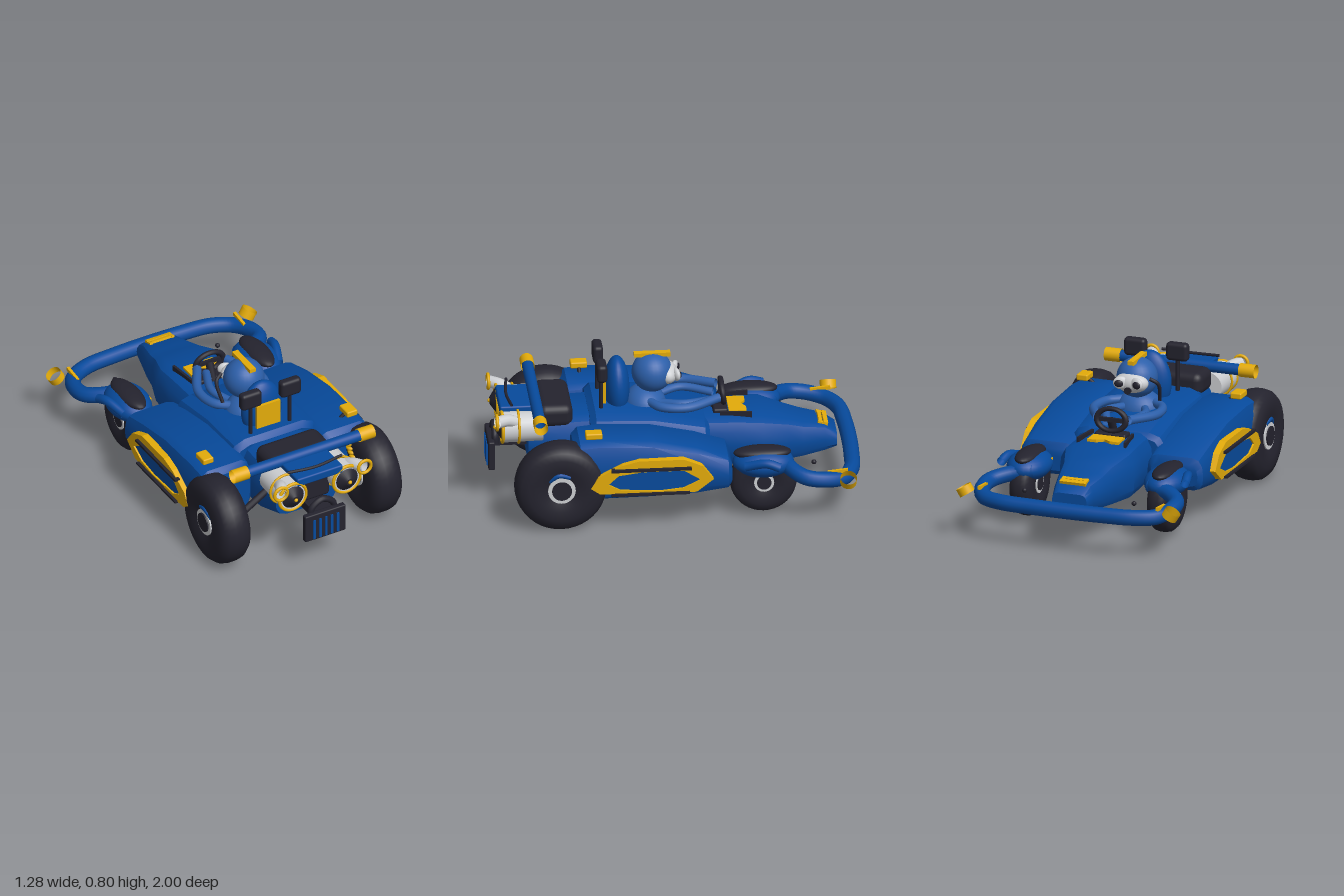
import * as THREE from 'three';
import { toCreasedNormals } from 'three/addons/utils/BufferGeometryUtils.js';
import { RoundedBoxGeometry } from 'three/addons/geometries/RoundedBoxGeometry.js';

const mat = (name, color) => {
  const m = new THREE.MeshStandardMaterial({ color, side: THREE.DoubleSide });
  m.name = name;
  return m;
};
const V = (p) => new THREE.Vector3(...p);

export function createModel() {
  const blue = mat('body blue', 0x074a9c);
  const suit = mat('suit blue', 0x2c5fa9);
  const yellow = mat('yellow', 0xe3ab0a);
  const dark = mat('dark rubber', 0x24232e);
  const white = mat('pale metal', 0xcdcfd2);
  const model = new THREE.Group();
  model.name = 'kart';

  const add = (name, geo, material, pos = [0, 0, 0], rot = [0, 0, 0], scale = [1, 1, 1]) => {
    const m = new THREE.Mesh(geo, material);
    m.name = name;
    m.position.set(...pos);
    m.rotation.set(...rot);
    m.scale.set(...scale);
    model.add(m);
    return m;
  };
  const box = (name, material, size, pos, rot) => add(name, new THREE.BoxGeometry(...size), material, pos, rot);
  const rbox = (name, material, size, pos, r = 0.02) => add(name, new RoundedBoxGeometry(...size, 3, r), material, pos);
  const ball = (name, material, radii, pos, rot) => add(name, new THREE.SphereGeometry(1, 28, 18), material, pos, rot, radii);
  const tube = (name, material, pts, r, n = 24) =>
    add(name, new THREE.TubeGeometry(new THREE.CatmullRomCurve3(pts.map(V)), n, r, 12), material);
  // cylinders whose axis runs along z or x
  const cylZ = (name, material, r0, r1, len, pos) =>
    add(name, new THREE.CylinderGeometry(r0, r1, len, 28), material, pos, [Math.PI / 2, 0, 0]);
  const cylX = (name, material, r, len, pos, open = false) =>
    add(name, new THREE.CylinderGeometry(r, r, len, 28, 1, open), material, pos, [0, 0, Math.PI / 2]);
  const mirror = (fn) => [1, -1].forEach(fn);

  // hull around x = cx from sections [z, half width, bottom, top], with chamfered corners
  const loft = (name, material, sections, cx = 0) => {
    const rings = sections.map(([z, w, b, t]) => {
      const h = t - b;
      const half = [[0.62, t], [0.84, t - 0.07 * h], [0.96, t - 0.25 * h], [1, b + 0.5 * h],
        [0.98, b + 0.22 * h], [0.86, b + 0.06 * h], [0.66, b]];
      return [...half.map(([x, y]) => [cx + x * w, y, z]), ...half.reverse().map(([x, y]) => [cx - x * w, y, z])];
    });
    const pos = [];
    const n = rings[0].length;
    for (let i = 0; i < rings.length - 1; i++) for (let j = 0; j < n; j++) {
      const k = (j + 1) % n;
      const [a, b, c, d] = [rings[i][j], rings[i][k], rings[i + 1][k], rings[i + 1][j]];
      pos.push(...a, ...d, ...b, ...d, ...c, ...b);
    }
    const first = rings[0], last = rings[rings.length - 1];
    for (let j = 1; j < n - 1; j++) {
      pos.push(...first[0], ...first[j], ...first[j + 1]);
      pos.push(...last[0], ...last[j + 1], ...last[j]);
    }
    const g = new THREE.BufferGeometry();
    g.setAttribute('position', new THREE.Float32BufferAttribute(pos, 3));
    return add(name, toCreasedNormals(g, 0.6), material);
  };

  // bodywork
  mirror((s) => loft('sidePod', blue, [[-0.285, 0.135, 0.23, 0.35], [-0.265, 0.16, 0.205, 0.385], [-0.1, 0.168, 0.18, 0.44],
    [0.14, 0.168, 0.168, 0.492], [0.42, 0.168, 0.165, 0.505], [0.53, 0.165, 0.17, 0.495], [0.562, 0.14, 0.2, 0.465]], 0.364 * s));
  loft('cockpitHull', blue, [[-0.19, 0.255, 0.22, 0.44], [-0.165, 0.28, 0.19, 0.465], [0.12, 0.285, 0.18, 0.525],
    [0.42, 0.285, 0.18, 0.535], [0.452, 0.26, 0.2, 0.51]]);
  loft('nose', blue, [[-0.885, 0.1, 0.23, 0.315], [-0.82, 0.115, 0.21, 0.36], [-0.7, 0.145, 0.19, 0.385],
    [-0.62, 0.16, 0.18, 0.41], [-0.48, 0.215, 0.18, 0.45], [-0.35, 0.21, 0.18, 0.458], [-0.1, 0.2, 0.19, 0.46]]);
  loft('engineDeck', blue, [[0.4, 0.215, 0.18, 0.51], [0.6, 0.21, 0.19, 0.5], [0.78, 0.19, 0.25, 0.49]]);
  rbox('tailPlate', blue, [0.28, 0.05, 0.2], [0, 0.545, 0.83], 0.01);
  rbox('engineCover', dark, [0.38, 0.13, 0.19], [0, 0.515, 0.635], 0.045);
  rbox('enginePanel', dark, [0.2, 0.18, 0.12], [0, 0.44, 0.8], 0.02);
  tube('tailTrim', dark, [[-0.165, 0.59, 0.87], [0, 0.583, 0.885], [0.165, 0.59, 0.87]], 0.008);
  box('floorHatch', dark, [0.1, 0.008, 0.08], [0, 0.177, -0.32]);

  // front bumper loop
  const side = [[0.34, 0.31, -0.56], [0.46, 0.29, -0.605], [0.535, 0.27, -0.68], [0.54, 0.255, -0.78],
    [0.49, 0.24, -0.88], [0.38, 0.24, -0.935], [0.2, 0.24, -0.952]];
  tube('frontBumper', blue, [...side, [0, 0.24, -0.957], ...side.slice().reverse().map(([x, y, z]) => [-x, y, z])], 0.043, 90);

  // yellow details along the nose
  box('noseBadge', yellow, [0.15, 0.02, 0.025], [0, 0.36, -0.825], [-0.3, 0, 0]);
  mirror((s) => box('noseBadgeEnd', yellow, [0.018, 0.02, 0.035], [0.066 * s, 0.364, -0.8], [-0.3, 0, 0]));
  box('noseBadgeBar', yellow, [0.12, 0.02, 0.02], [0, 0.366, -0.797], [-0.3, 0, 0]);
  const dash = new THREE.Shape([[-0.09, -0.045], [0.09, -0.045], [0.09, 0.05], [0.04, 0.05], [0, 0.025], [-0.04, 0.05], [-0.09, 0.05]]
    .map(([x, y]) => new THREE.Vector2(x, y)));
  add('dashPlate', new THREE.ExtrudeGeometry(dash, { depth: 0.02, bevelEnabled: false }), yellow, [0, 0.45, -0.35], [-Math.PI / 2, 0, 0]);

  // side panel outlines as (z, y)
  const outer = [[0.48, 0.265], [0.44, 0.33], [0.31, 0.395], [0.22, 0.417], [-0.02, 0.417], [-0.12, 0.375],
    [-0.18, 0.295], [-0.09, 0.225], [0.1, 0.215], [0.43, 0.23]];
  const inner = [[0.385, 0.285], [0.33, 0.335], [0.2, 0.352], [-0.02, 0.352], [-0.11, 0.295], [-0.02, 0.25], [0.1, 0.238], [0.32, 0.25]];
  const plate = (pts, hole, depth) => {
    const v = (a) => a.map(([x, y]) => new THREE.Vector2(x, y));
    const s = new THREE.Shape(v(pts));
    if (hole) s.holes.push(new THREE.Path(v(hole)));
    return new THREE.ExtrudeGeometry(s, { depth, bevelEnabled: false }).rotateY(-Math.PI / 2).translate(depth / 2, 0, 0);
  };

  // tyre, rim and hub with the axle along x
  const wheel = (name, r, w, pos) => {
    const prof = [[0.28, -0.4], [0.5, -0.5], [0.72, -0.49], [0.88, -0.42], [0.97, -0.28], [1, -0.1]];
    const pts = [...prof, ...prof.slice().reverse().map(([a, b]) => [a, -b])].map(([a, b]) => new THREE.Vector2(a * r, b * w));
    add(name + 'Tyre', new THREE.LatheGeometry(pts, 40), dark, pos, [0, 0, Math.PI / 2]);
    cylX(name + 'Rim', white, 0.3 * r, w * 0.9, pos);
    cylX(name + 'Hub', dark, 0.215 * r, w * 0.98, pos);
  };

  mirror((s) => {
    wheel('engineEndWheel', 0.248, 0.19, [0.465 * s, 0.255, 0.635]);
    wheel('noseEndWheel', 0.18, 0.13, [0.395 * s, 0.21, -0.46]);
    // fenders over the small wheels
    ball('fender', blue, [0.118, 0.08, 0.165], [0.395 * s, 0.31, -0.46]);
    ball('fenderCap', dark, [0.066, 0.035, 0.155], [0.395 * s, 0.365, -0.455]);
    tube('fenderFin', blue, [[0.53 * s, 0.33, -0.54], [0.515 * s, 0.35, -0.47], [0.475 * s, 0.32, -0.36]], 0.025);
    box('fenderClip', yellow, [0.02, 0.02, 0.035], [0.3 * s, 0.33, -0.405]);
    ball('bumperStud', dark, [0.013, 0.013, 0.013], [0.315 * s, 0.255, -0.74]);
    // open rings and strips on the bumper
    add('bumperRing', new THREE.CylinderGeometry(0.044, 0.044, 0.045, 28, 1, true), yellow, [0.592 * s, 0.273, -0.9], [0, 0, -0.55 * s]);
    box('bumperStrip', yellow, [0.016, 0.02, 0.11], [0.512 * s, 0.288, -0.85], [0.1, 0, 0]);
    // side panels
    add('sidePanelFrame', plate(outer, inner, 0.04), yellow, [0.54 * s, 0, 0]);
    add('sidePanelCentre', plate(inner, null, 0.03), blue, [0.535 * s, 0, 0]);
    box('upperSideRail', dark, [0.03, 0.014, 0.43], [0.562 * s, 0.368, 0.155]);
    box('lowerSideRail', dark, [0.03, 0.012, 0.42], [0.562 * s, 0.226, 0.16]);
    // marker lamps
    rbox('markerLamp', yellow, [0.064, 0.035, 0.09], [0.442 * s, 0.53, 0.455], 0.008);
    tube('markerStem', dark, [[0.35 * s, 0.46, 0.45], [0.425 * s, 0.52, 0.455]], 0.011, 2);
    // suspension
    tube('wheelArm', dark, [[0.18 * s, 0.37, 0.68], [0.39 * s, 0.24, 0.68]], 0.02, 2);
    for (let i = 0; i < 5; i++)
      add('springCoil', new THREE.TorusGeometry(0.016, 0.011, 8, 16), yellow,
        [(0.372 + i * 0.003) * s, 0.42 - i * 0.021, 0.585 + i * 0.013], [Math.PI / 2, 0, 0]);
    tube('hubGuard', blue, [[0.535 * s, 0.31, 0.7], [0.547 * s, 0.345, 0.65], [0.54 * s, 0.33, 0.59]], 0.014);
    // engines and exhausts
    const ex = 0.166 * s;
    cylZ('engineBarrel', white, 0.084, 0.08, 0.22, [ex, 0.465, 0.815]);
    add('engineRing', new THREE.TorusGeometry(0.082, 0.009, 10, 32), yellow, [ex, 0.465, 0.922]);
    add('engineBand', new THREE.TorusGeometry(0.088, 0.007, 8, 32), yellow, [ex, 0.465, 0.835]);
    cylZ('engineCone', dark, 0.02, 0.07, 0.035, [ex, 0.465, 0.94]);
    ball('engineTip', yellow, [0.011, 0.011, 0.011], [ex, 0.465, 0.958]);
    tube('exhaustPipe', white, [[0.2 * s, 0.505, 0.84], [0.225 * s, 0.53, 0.9], [0.257 * s, 0.535, 0.955]], 0.033);
    add('exhaustRing', new THREE.TorusGeometry(0.039, 0.009, 10, 28), yellow, [0.257 * s, 0.535, 0.957]);
    // mirrors, bar ends
    rbox('mirror', dark, [0.124, 0.1, 0.055], [0.121 * s, 0.753, 0.383]);
    tube('mirrorStem', dark, [[0.12 * s, 0.5, 0.385], [0.12 * s, 0.72, 0.385]], 0.011, 2);
    cylX('barEnd', yellow, 0.037, 0.09, [0.386 * s, 0.571, 0.735], true);
    // driver limbs
    tube('arm', suit, [[0.09 * s, 0.54, 0.12], [0.16 * s, 0.54, 0.06], [0.18 * s, 0.54, -0.07], [0.09 * s, 0.55, -0.25]], 0.025);
    tube('innerArm', suit, [[0.06 * s, 0.52, 0.06], [0.105 * s, 0.53, -0.06], [0.045 * s, 0.52, -0.23]], 0.022);
    ball('goggleRim', white, [0.042, 0.036, 0.02], [0.045 * s, 0.678, -0.024], [0, 0.35 * s, 0]);
    ball('goggle', dark, [0.027, 0.022, 0.016], [0.05 * s, 0.678, -0.036], [0, 0.35 * s, 0]);
    box('dashFin', dark, [0.014, 0.05, 0.17], [0.125 * s, 0.455, -0.34], [0, -0.12 * s, 0]);
  });
  cylX('crossBar', blue, 0.031, 0.72, [0, 0.571, 0.735], true);

  // grille below the engines
  rbox('grille', dark, [0.25, 0.165, 0.035], [0, 0.27, 0.972], 0.008);
  for (let i = -2; i <= 2; i++) box('grilleFin', blue, [0.014, 0.12, 0.008], [i * 0.036, 0.26, 0.992]);
  tube('grilleArch', dark, [[-0.07, 0.32, 0.95], [-0.065, 0.37, 0.95], [0, 0.41, 0.95], [0.065, 0.37, 0.95], [0.07, 0.32, 0.95]], 0.018);
  box('grilleMount', dark, [0.12, 0.05, 0.2], [0, 0.33, 0.86]);

  // seat and driver
  ball('seatBack', blue, [0.12, 0.175, 0.068], [0, 0.6, 0.29]);
  box('seatPlate', yellow, [0.145, 0.17, 0.018], [0, 0.59, 0.362]);
  ball('torso', suit, [0.13, 0.11, 0.115], [0, 0.49, 0.14]);
  ball('helmet', suit, [0.112, 0.11, 0.11], [0, 0.68, 0.1]);
  ball('visor', white, [0.094, 0.056, 0.055], [0, 0.672, 0.02]);
  box('helmetCrest', yellow, [0.036, 0.022, 0.195], [0, 0.783, 0.1]);
  cylZ('breather', dark, 0.016, 0.02, 0.03, [0, 0.642, -0.03]);
  tube('breatherHose', dark, [[-0.1, 0.7, 0.03], [-0.14, 0.67, 0.05], [-0.13, 0.56, 0.1]], 0.01);

  // steering
  add('steeringWheel', new THREE.TorusGeometry(0.072, 0.015, 12, 32), dark, [0, 0.55, -0.275], [0.1, 0, 0], [1.15, 0.85, 1]);
  box('steeringSpoke', dark, [0.15, 0.022, 0.016], [0, 0.55, -0.275]);
  tube('steeringColumn', dark, [[0, 0.55, -0.275], [0, 0.42, -0.22]], 0.022, 2);
  rbox('steeringMount', dark, [0.18, 0.05, 0.08], [0, 0.455, -0.26], 0.012);

  return model;
}
